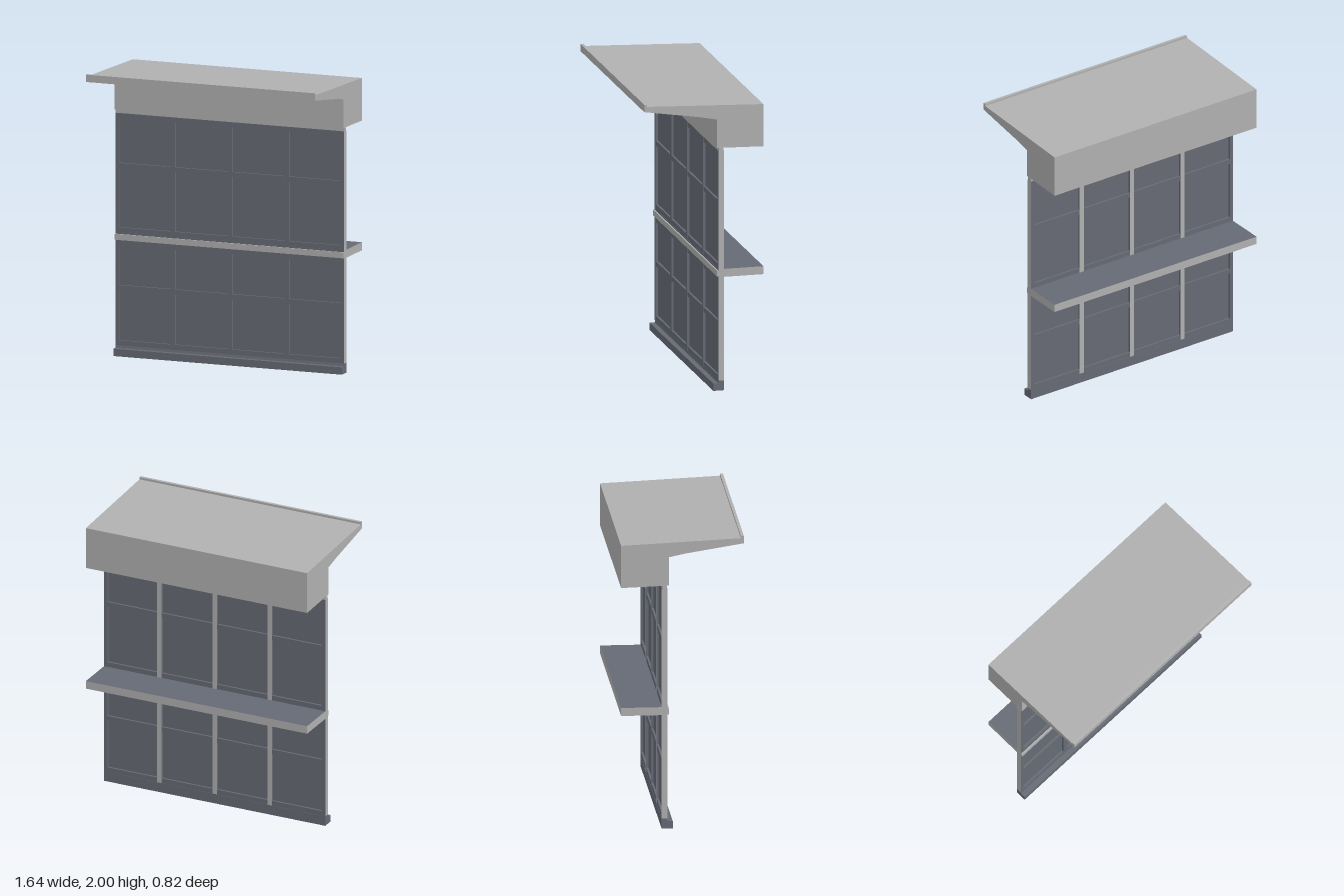
import * as THREE from 'three';

const W = 1.645; // overall width

export function createModel() {
  const model = new THREE.Group();
  model.name = 'shopfrontFacade';

  const grey = new THREE.MeshStandardMaterial({ color: 0xb0b0b0 });
  grey.name = 'pale grey cladding';
  const slate = new THREE.MeshStandardMaterial({ color: 0x666a74 });
  slate.name = 'slate glazing';

  const add = (name, geometry, material, parent = model) => {
    const mesh = new THREE.Mesh(geometry, material);
    mesh.name = name;
    parent.add(mesh);
    return mesh;
  };

  // Box given by its limits on each axis
  const box = (name, [x0, x1], [y0, y1], [z0, z1], material, parent) => {
    const mesh = add(name, new THREE.BoxGeometry(x1 - x0, y1 - y0, z1 - z0), material, parent);
    mesh.position.set((x0 + x1) / 2, (y0 + y1) / 2, (z0 + z1) / 2);
    return mesh;
  };

  // Side profile of [z, y] points, extruded across the full width
  const profile = (name, points, material) => {
    const shape = new THREE.Shape(points.map(([z, y]) => new THREE.Vector2(z, y)));
    const geometry = new THREE.ExtrudeGeometry(shape, { depth: W, bevelEnabled: false });
    geometry.translate(0, 0, -W / 2).rotateY(-Math.PI / 2);
    return add(name, geometry, material);
  };

  const full = [-W / 2, W / 2];

  // Sloping canopy with a raised front lip, and the header box beneath it
  profile('canopyAndHeader', [
    [0.41, 1.95], [0.41, 2], [0.39, 2], [0.39, 1.985], [-0.41, 1.95],
    [-0.41, 1.66], [-0.09, 1.67], [-0.09, 1.865], [0.02, 1.888],
  ], grey);
  box('headFlashing', full, [1.645, 1.668], [-0.135, -0.105], grey);

  // Floor slab: slate top and underside, grey edges
  box('floorSlab', full, [0.78, 0.835], [-0.41, -0.1], [grey, grey, slate, slate, slate, grey]);
  box('slabNosing', full, [0.785, 0.825], [-0.1, -0.09], grey);

  // Sill at ground level
  profile('sill', [
    [-0.065, 0], [-0.065, 0.05], [-0.1, 0.05], [-0.105, 0.068], [-0.14, 0.068], [-0.14, 0],
  ], slate);

  // Two storeys of glazing, each four bays wide and two panes high
  const bar = 0.034;
  const depth = [-0.14, -0.1];
  for (const [name, bottom, top, mid] of [
    ['lowerGlazing', 0.068, 0.78, 0.46],
    ['upperGlazing', 0.835, 1.645, 1.29],
  ]) {
    const glazing = new THREE.Group();
    glazing.name = name;
    model.add(glazing);

    box('glass', [-W / 2 + 0.01, W / 2 - 0.01], [bottom, top], [-0.124, -0.116], slate, glazing);

    // Inner mullions: slate front, grey back
    for (const x of [-0.41, 0, 0.41]) {
      box('mullion', [x - bar / 2, x + bar / 2], [bottom, top], depth,
        [slate, slate, slate, slate, slate, grey], glazing);
    }
    // End posts with grey outer sides
    box('leftPost', [W / 2 - 0.025, W / 2], [bottom, top], depth,
      [grey, slate, slate, slate, slate, slate], glazing);
    box('rightPost', [-W / 2, -W / 2 + 0.025], [bottom, top], depth,
      [slate, grey, slate, slate, slate, slate], glazing);

    // Rails, set a hair inside the posts
    for (const y of [bottom + bar / 2, mid, top - bar / 2]) {
      box('rail', [-W / 2 + 0.01, W / 2 - 0.01], [y - bar / 2, y + bar / 2], [-0.138, -0.102], slate, glazing);
    }
  }

  return model;
}
